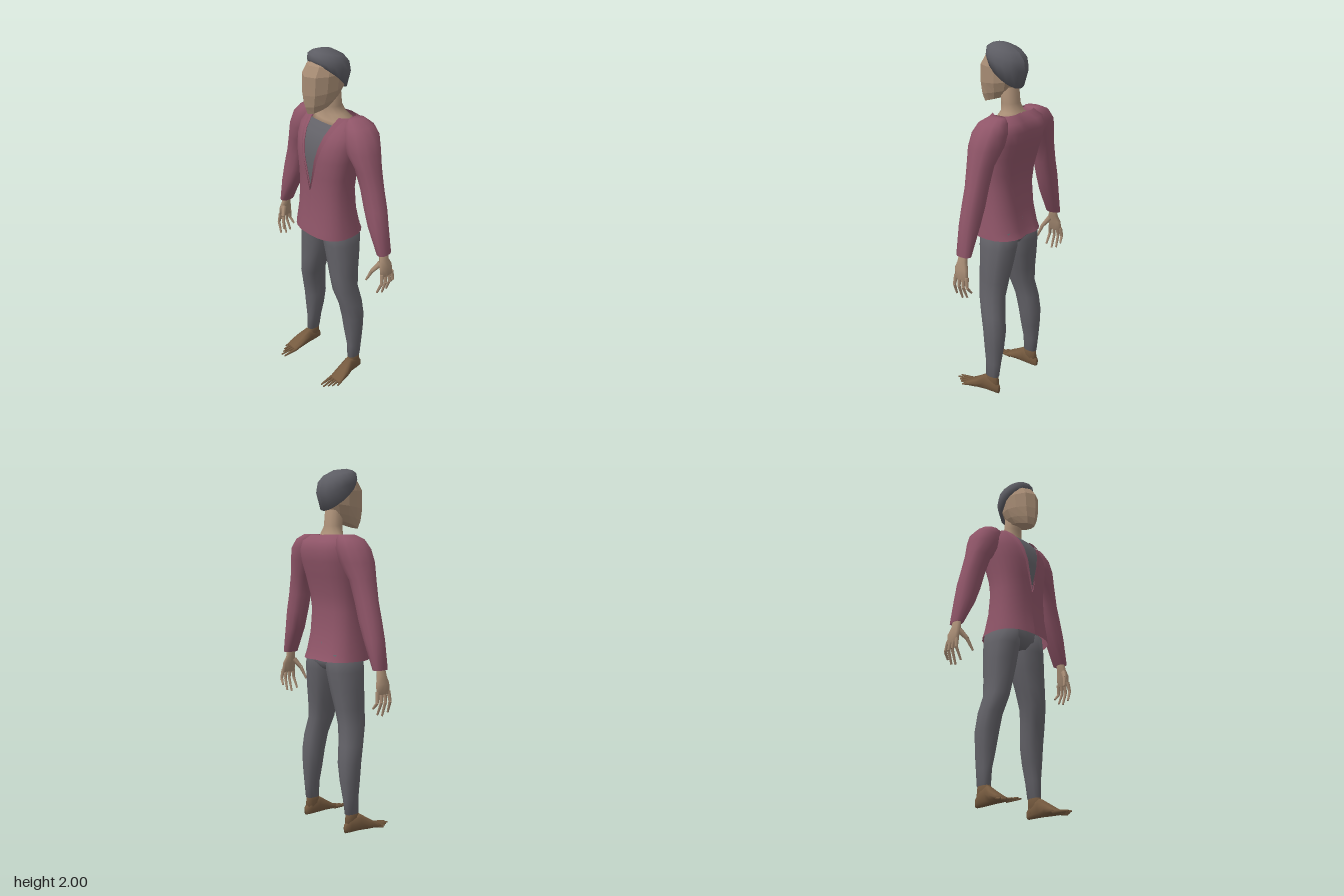
import * as THREE from 'three';
import { mergeGeometries } from 'three/addons/utils/BufferGeometryUtils.js';

const mat = (name, color, side = THREE.FrontSide) =>
  Object.assign(new THREE.MeshStandardMaterial({ color, side }), { name });

// Signed power, used for squarish ellipses
const spow = (v, p) => Math.sign(v) * Math.pow(Math.abs(v), p);

// Skin a stack of rings (arrays of [x, y, z]) into one smooth surface
function loft(rings, { closed = true, cap = true } = {}) {
  const n = rings[0].length, pos = rings.flat(2), idx = [];
  const cols = closed ? n : n - 1;
  for (let i = 0; i < rings.length - 1; i++) {
    for (let j = 0; j < cols; j++) {
      const a = i * n + j, b = i * n + (j + 1) % n;
      idx.push(a, b, a + n, b, b + n, a + n);
    }
  }
  if (cap) {
    [0, rings.length - 1].forEach((r, end) => {
      const mid = pos.length / 3;
      for (let k = 0; k < 3; k++) pos.push(rings[r].reduce((s, p) => s + p[k], 0) / n);
      for (let j = 0; j < n; j++) {
        const a = r * n + j, b = r * n + (j + 1) % n;
        if (end) idx.push(a, b, mid); else idx.push(b, a, mid);
      }
    });
  }
  const g = new THREE.BufferGeometry();
  g.setAttribute('position', new THREE.Float32BufferAttribute(pos, 3));
  g.setIndex(idx);
  g.computeVertexNormals();
  return g;
}

// Horizontal ring filling the bounds [y, xMin, xMax, zMin, zMax]
function ring([y, x0, x1, z0, z1], n = 12, p = 0.9) {
  return Array.from({ length: n }, (_, j) => {
    const t = (j / n) * Math.PI * 2;
    return [(x0 + x1) / 2 + (x1 - x0) / 2 * spow(Math.sin(t), p), y,
      (z0 + z1) / 2 + (z1 - z0) / 2 * spow(Math.cos(t), p)];
  });
}
const limb = (rows, n, p) => loft(rows.map(r => ring(r, n, p)));

// Faceted head ring [half width, zFront, zBack, yFront, yBack], tilted front to back
const HEAD = [[0, 1], [0.56, 0.78], [0.88, 0.3], [1, -0.2], [0.8, -0.7], [0.35, -1]];
function headRing([w, zf, zb, yf, yb], shape = HEAD) {
  const half = shape.map(([x, z]) => {
    const t = (z + 1) / 2;
    return [x * w, yb + (yf - yb) * t, zb + (zf - zb) * t];
  });
  return [...half, ...half.slice(1).reverse().map(([x, y, z]) => [-x, y, z])];
}

// Finger or toe: tapering segments along a few points
function digit(points, r0, r1) {
  const up = new THREE.Vector3(0, 1, 0), parts = [], n = points.length - 1;
  for (let i = 0; i < n; i++) {
    const a = new THREE.Vector3(...points[i]), b = new THREE.Vector3(...points[i + 1]);
    const d = b.clone().sub(a), rad = t => r0 + (r1 - r0) * t / n;
    const g = new THREE.CylinderGeometry(rad(i + 1), rad(i), d.length(), 5);
    g.applyQuaternion(new THREE.Quaternion().setFromUnitVectors(up, d.normalize()));
    g.translate(...a.add(b).multiplyScalar(0.5).toArray());
    parts.push(g);
  }
  return mergeGeometries(parts);
}

// Mirror across x, keeping faces outward
function mirror(g) {
  const m = g.clone().scale(-1, 1, 1), ix = m.index.array;
  for (let i = 0; i < ix.length; i += 3) [ix[i], ix[i + 1]] = [ix[i + 1], ix[i]];
  const nor = m.attributes.normal;
  for (let i = 0; i < nor.count; i++) nor.setX(i, -Math.abs(nor.getX(i)) * Math.sign(g.attributes.normal.getX(i)));
  return m;
}

// Jacket body: [y, half width, zBack, zFront]
const TORSO = [
  [0.96, 0.19, -0.18, 0.13], [1.0, 0.185, -0.163, 0.125], [1.1, 0.172, -0.14, 0.11],
  [1.23, 0.165, -0.13, 0.105], [1.32, 0.172, -0.14, 0.107], [1.42, 0.188, -0.165, 0.112],
  [1.5, 0.2, -0.187, 0.1], [1.56, 0.2, -0.195, 0.075], [1.61, 0.18, -0.182, 0.035],
  [1.645, 0.135, -0.135, 0.0]];
const POW = 0.8;
const vHalf = y => Math.max(0, 0.09 * (y - 1.23) / 0.415);
const angleAt = (w, x) => Math.asin(Math.min(1, Math.pow(x / w, 1 / POW)));
function torsoPoint([y, w, zb, zf], t, off = 0) {
  const x = (w + off) * spow(Math.sin(t), POW), c = Math.cos(t);
  let z = (zb + zf) / 2 + ((zf - zb) / 2 + off) * spow(c, POW);
  if (c < 0) z += 0.02 * Math.exp(-((x / 0.05) ** 2)); // hollow of the spine
  return [x, y, z];
}
const arc = (row, a, b, n, off) =>
  Array.from({ length: n + 1 }, (_, j) => torsoPoint(row, a + (b - a) * j / n, off));

export function createModel() {
  const skin = mat('skin', 0xa88d75);
  const footSkin = mat('dark skin', 0x755a3f);
  const jacketCloth = mat('jacket cloth', 0x8f5568, THREE.DoubleSide);
  const greyCloth = mat('grey cloth', 0x636268, THREE.DoubleSide);
  const hairColour = mat('hair', 0x5d5d64);
  const model = new THREE.Group();
  model.name = 'standingFigure';
  const add = (name, geo, material) => {
    const m = new THREE.Mesh(geo, material);
    m.name = name;
    model.add(m);
  };
  const addPair = (name, geo, material) => {
    add(name + 'Left', geo, material);
    add(name + 'Right', mirror(geo), material);
  };
  const flat = g => { const f = g.toNonIndexed(); f.computeVertexNormals(); return f; };

  // Head, neck and hair
  add('head', flat(loft([
    [0.05, 0.122, -0.04, 1.675, 1.725], [0.072, 0.136, -0.075, 1.715, 1.765],
    [0.09, 0.142, -0.1, 1.78, 1.81], [0.096, 0.14, -0.11, 1.88, 1.88],
    [0.086, 0.108, -0.105, 1.93, 1.92], [0.05, 0.06, -0.06, 1.965, 1.96],
  ].map(r => headRing(r)))), skin);
  const round = Array.from({ length: 9 }, (_, i) => [Math.sin(i * Math.PI / 8), Math.cos(i * Math.PI / 8)]);
  add('hair', loft([
    [0.1, 0.085, -0.112, 1.94, 1.77], [0.107, 0.094, -0.14, 1.955, 1.86],
    [0.1, 0.09, -0.132, 1.98, 1.915], [0.076, 0.07, -0.1, 1.993, 1.955],
    [0.03, 0.04, -0.04, 2.0, 1.99],
  ].map(r => headRing(r, round))), hairColour);
  add('neck', limb([
    [1.56, -0.15, 0.15, -0.16, 0.04], [1.615, -0.125, 0.125, -0.14, 0.01],
    [1.645, -0.066, 0.066, -0.118, 0.0], [1.69, -0.055, 0.055, -0.095, 0.0],
    [1.8, -0.052, 0.052, -0.085, 0.01]]), skin);

  // Jacket body, open in a V at the front, with the shirt filling the V
  add('jacketBody', loft(TORSO.map(row => {
    const t = angleAt(row[1], vHalf(row[0]));
    return arc(row, t, Math.PI * 2 - t, 24, 0);
  }), { closed: false, cap: false }), jacketCloth);
  const vRows = TORSO.filter(r => r[0] >= 1.23);
  add('shirt', loft(vRows.slice(0, -1).map(row => {
    const t = angleAt(row[1], vHalf(row[0]));
    return arc(row, -t, t, 6, -0.002);
  }), { closed: false, cap: false }), greyCloth);

  // Raised lapels along the V
  addPair('lapel', loft(vRows.map(row => {
    const v = vHalf(row[0]);
    return [torsoPoint(row, angleAt(row[1], v), 0.01),
      torsoPoint(row, angleAt(row[1], v * 1.36), 0.003)];
  }), { closed: false, cap: false }), jacketCloth);

  // Sleeves with rounded shoulders
  addPair('sleeve', limb([
    [0.95, 0.385, 0.44, -0.1, -0.01], [1.1, 0.305, 0.42, -0.108, 0],
    [1.2, 0.265, 0.4, -0.115, 0], [1.3, 0.235, 0.372, -0.118, 0],
    [1.41, 0.2, 0.342, -0.128, 0.012], [1.5, 0.13, 0.322, -0.15, 0.03],
    [1.57, 0.11, 0.295, -0.162, 0.025], [1.62, 0.115, 0.25, -0.15, 0.005],
    [1.645, 0.125, 0.19, -0.125, -0.03]]), jacketCloth);

  // Hands: palm, four curled fingers and a thumb
  addPair('palm', limb([
    [0.825, 0.424, 0.45, -0.1, -0.012], [0.88, 0.412, 0.45, -0.098, -0.008],
    [0.92, 0.4, 0.438, -0.08, -0.02], [0.98, 0.39, 0.428, -0.078, -0.03]], 8), skin);
  const fingers = [[-0.092, -0.108, 0.75], [-0.068, -0.078, 0.715], [-0.044, -0.045, 0.705], [-0.02, -0.006, 0.72]]
    .map(([z, tipZ, tipY]) => digit(
      [[0.437, 0.84, z], [0.445, 0.785, (z + tipZ) / 2], [0.418, tipY, tipZ]], 0.012, 0.006));
  addPair('fingers', mergeGeometries(fingers), skin);
  addPair('thumb', digit([[0.415, 0.9, -0.03], [0.385, 0.85, 0.002], [0.358, 0.785, 0.02]], 0.017, 0.006), skin);

  // Trousers
  add('trouserSeat', limb([
    [0.905, -0.06, 0.06, -0.11, 0.04], [0.95, -0.17, 0.17, -0.15, 0.07],
    [1.06, -0.16, 0.16, -0.13, 0.08]]), greyCloth);
  addPair('trouserLeg', limb([
    [0.11, 0.16, 0.212, -0.105, -0.02], [0.2, 0.15, 0.216, -0.115, -0.02],
    [0.3, 0.125, 0.226, -0.125, -0.01], [0.4, 0.108, 0.231, -0.13, 0],
    [0.5, 0.1, 0.224, -0.12, 0.02], [0.6, 0.078, 0.203, -0.105, 0.05],
    [0.7, 0.05, 0.199, -0.115, 0.056], [0.8, 0.022, 0.197, -0.13, 0.06],
    [0.9, 0.004, 0.188, -0.145, 0.07], [1.0, 0, 0.172, -0.15, 0.07]]), greyCloth);

  // Bare feet: ankle, sole running forward, five toes
  addPair('ankle', limb([
    [0.03, 0.165, 0.212, -0.11, 0.0], [0.09, 0.163, 0.21, -0.104, -0.015],
    [0.13, 0.164, 0.208, -0.1, -0.024]], 10), footSkin);
  const foot = [[-0.11, 0.175, 0.202, 0.05], [-0.08, 0.165, 0.212, 0.08], [-0.02, 0.16, 0.222, 0.1],
    [0.03, 0.158, 0.24, 0.066], [0.08, 0.158, 0.249, 0.034], [0.105, 0.163, 0.245, 0.02]];
  addPair('foot', loft(foot.map(([z, x0, x1, top]) => Array.from({ length: 10 }, (_, j) => {
    const t = j / 10 * Math.PI * 2;
    return [(x0 + x1) / 2 + (x1 - x0) / 2 * spow(Math.cos(t), 0.7), 0.006 + top / 2 * (1 + spow(Math.sin(t), 0.8)), z];
  }))), footSkin);
  const toes = [[0.17, 0.174, 0.187], [0.187, 0.197, 0.19], [0.205, 0.212, 0.165], [0.222, 0.227, 0.145], [0.238, 0.246, 0.12]]
    .map(([x, tipX, tipZ], i) => digit([[x, 0.016, 0.085], [tipX, 0.007, tipZ]], i ? 0.009 : 0.012, 0.005));
  addPair('toes', mergeGeometries(toes), footSkin);

  return model;
}
